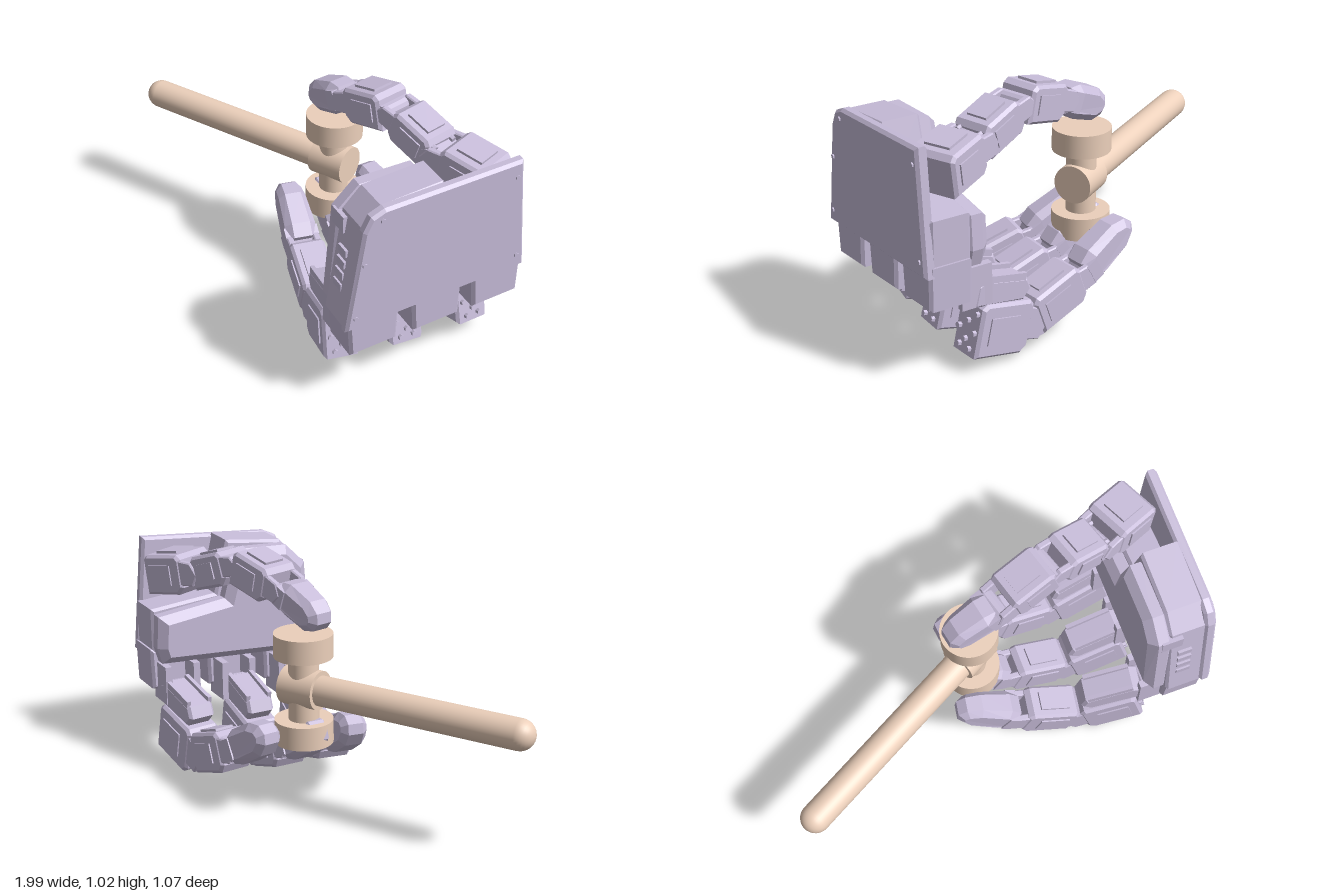
import * as THREE from 'three';

const lilac = new THREE.MeshStandardMaterial({ color: 0xc9bedb, flatShading: true });
const tan = new THREE.MeshStandardMaterial({ color: 0xecd0bb });

const V = (x, y, z) => new THREE.Vector3(x, y, z);
const shapeOf = pts => new THREE.Shape(pts.map(p => new THREE.Vector2(p[0], p[1])));

function add(parent, name, geo, x = 0, y = 0, z = 0, mat = lilac) {
  const m = new THREE.Mesh(geo, mat);
  m.name = name;
  m.position.set(x, y, z);
  parent.add(m);
  return m;
}

// Extrusion with a one-step chamfer; depth runs from z0 to z1
function slab(pts, z0, z1, bevel = 0.012) {
  const g = new THREE.ExtrudeGeometry(shapeOf(pts), {
    depth: z1 - z0 - 2 * bevel, bevelEnabled: true, bevelSegments: 1,
    bevelThickness: bevel, bevelSize: bevel, bevelOffset: -bevel,
  });
  return g.translate(0, 0, z0 + bevel);
}

// Side profile in (length, height), extruded to a width centred on x = 0
function sideProfile(pts, width, bevel = 0.012) {
  return slab(pts, -width / 2, width / 2, bevel).rotateY(-Math.PI / 2);
}

// Group whose local +z runs from a to b
function along(parent, name, a, b) {
  const g = new THREE.Group();
  g.name = name;
  g.position.copy(a);
  g.lookAt(b);
  parent.add(g);
  return g;
}

function pin(parent, z, y, r, width) {
  add(parent, 'hingePin', new THREE.CylinderGeometry(r, r, width, 12).rotateZ(Math.PI / 2), 0, y, z);
}

// Motor housing with a fork and hinge pin at its far end
function housing(parent, name, a, b, w, h, studs) {
  const g = along(parent, name, a, b);
  const L = a.distanceTo(b), t = h / 2, e = L - 0.055;
  add(g, 'shell', sideProfile([[0, -t], [e - 0.03, -t], [e, -t + 0.03], [e, t - 0.02], [e - 0.02, t], [0.02, t], [0, t - 0.02]], w));
  for (const s of [-1, 1]) {
    add(g, 'fork', sideProfile([[e - 0.05, -t * 0.5], [L, -t * 0.55], [L + 0.03, 0], [L, t * 0.6], [e - 0.05, t * 0.8]], 0.028, 0.005), s * (w / 2 - 0.018), 0, 0);
    add(g, 'sidePlate', new THREE.BoxGeometry(0.012, h * 0.5, e * 0.55), s * w / 2, 0, e * 0.45);
  }
  add(g, 'topCover', new THREE.BoxGeometry(w * 0.55, 0.02, e * 0.55), 0, t, e * 0.5);
  pin(g, L, 0, h * 0.24, w * 0.85);
  // Bolt heads on the rear face
  if (studs) for (const [x, y] of [[-0.3, 0.3], [0.3, 0.3], [0, 0.12], [-0.3, -0.05], [0.3, -0.05], [0, -0.22], [-0.2, -0.36], [0.2, -0.36]])
    add(g, 'boltHead', new THREE.CylinderGeometry(0.012, 0.012, 0.02, 6).rotateX(Math.PI / 2), x * w, y * h, -0.006);
  return g;
}

// Padded tip tapering to a rounded end
function fingertip(parent, a, b, w, h) {
  const g = along(parent, 'fingertip', a, b);
  const L = a.distanceTo(b), t = h / 2;
  const geo = sideProfile([[0, -t * 0.8], [L * 0.25, -t], [L * 0.75, -t * 0.9], [L * 0.95, -t * 0.45], [L, t * 0.1],
    [L * 0.92, t * 0.65], [L * 0.7, t], [L * 0.2, t], [0, t * 0.7]], w, 0.028);
  const p = geo.attributes.position;
  for (let i = 0; i < p.count; i++) p.setX(i, p.getX(i) * (1 - 0.3 * Math.max(0, p.getZ(i) / L - 0.3)));
  geo.computeVertexNormals();
  add(g, 'pad', geo);
  add(g, 'tipCollar', new THREE.BoxGeometry(w * 1.08, h * 0.6, 0.05), 0, 0, 0.03);
}

function buildFinger(root, name, base, dir) {
  const f = new THREE.Group();
  f.name = name;
  root.add(f);
  const [dx, dz] = dir;
  const at = (t, y) => V(base[0] - dx * t, base[1] - 0.19 + y, base[2] - dz * t);
  housing(f, 'proximalHousing', at(0, 0.19), at(0.3, 0.12), 0.15, 0.22, true);
  // Upper drive link running from the knuckle
  const link = along(f, 'driveLink', at(0, 0.35), at(0.26, 0.29));
  add(link, 'linkBody', sideProfile([[0, -0.06], [0.24, -0.05], [0.27, 0], [0.24, 0.045], [0.03, 0.05], [0, 0.03]], 0.12));
  for (const s of [-1, 1]) add(link, 'linkRail', new THREE.BoxGeometry(0.018, 0.04, 0.2), s * 0.05, 0.045, 0.13);
  housing(f, 'middleHousing', at(0.29, 0.15), at(0.57, 0.25), 0.15, 0.17, false);
  fingertip(f, at(0.55, 0.25), at(0.8, 0.39), 0.135, 0.15);
}

function buildPalm(root) {
  // Local x runs across the knuckles, local +z out of the back of the hand
  const palm = new THREE.Group();
  palm.name = 'palm';
  palm.position.set(0.62, 0, 0.53);
  palm.rotation.y = 1.065;
  root.add(palm);
  add(palm, 'backPlate', slab([[-0.01, 0.43], [0.77, 0.5], [0.725, 1.0], [0.14, 0.955], [0.085, 0.93], [0.055, 0.87]], -0.05, 0));
  // Main body, cut away at the upper far corner for the thumb
  add(palm, 'palmBody', slab([[0.0, 0.43], [0.76, 0.5], [0.76, 0.72], [0.46, 0.75], [0.4, 0.98], [0.14, 0.95], [0.065, 0.87]], -0.2, -0.03));
  add(palm, 'palmPad', slab([[0.02, 0.45], [0.74, 0.49], [0.76, 0.56], [0.75, 0.7], [0.44, 0.74], [0.38, 0.95], [0.14, 0.94], [0.05, 0.85]], -0.285, -0.17, 0.035));
  // Slots and a port on the near edge
  for (let i = 0; i < 4; i++) add(palm, 'edgeRib', new THREE.BoxGeometry(0.025, 0.03, 0.06), 0.028 + i * 0.006, 0.57 + i * 0.05, -0.13);
  add(palm, 'edgePort', new THREE.BoxGeometry(0.05, 0.07, 0.09), 0.07, 0.82, -0.19);
  // Recessed screws on the back
  for (const [x, y] of [[0.13, 0.91], [0.06, 0.73], [0.03, 0.49], [0.73, 0.56], [0.7, 0.93]])
    add(palm, 'backScrew', new THREE.CylinderGeometry(0.01, 0.01, 0.012, 6).rotateX(Math.PI / 2), x, y, 0);
  // Knuckle mounts under the palm
  [0.125, 0.4, 0.665].forEach((s, i) => {
    const y = 0.29 + i * 0.025;
    add(palm, 'knuckleMount', slab([[s - 0.1, y], [s + 0.1, y + 0.02], [s + 0.105, y + 0.2], [s - 0.115, y + 0.18]], -0.2, -0.02));
    for (const o of [-0.065, 0.065]) add(palm, 'knuckleCheek', new THREE.BoxGeometry(0.03, 0.17, 0.13), s + o, y + 0.06, -0.23);
    add(palm, 'knucklePin', new THREE.CylinderGeometry(0.045, 0.045, 0.15, 12).rotateZ(Math.PI / 2), s, y + 0.02, -0.24);
  });
}

function buildThumb(root) {
  const thumb = new THREE.Group();
  thumb.name = 'thumb';
  root.add(thumb);
  const P = [V(0.86, 0.86, -0.1), V(0.6, 0.9, -0.12), V(0.36, 0.98, -0.17), V(0.11, 0.92, -0.23), V(-0.1, 0.83, -0.3)];
  housing(thumb, 'thumbBase', P[0], P[1], 0.2, 0.17, false);
  housing(thumb, 'thumbMetacarpal', P[1], P[2], 0.17, 0.14, true);
  housing(thumb, 'thumbMiddle', P[2], P[3], 0.17, 0.15, false);
  fingertip(thumb, P[3], P[4], 0.14, 0.14);
}

function buildMallet(root) {
  const mallet = new THREE.Group();
  mallet.name = 'mallet';
  mallet.position.set(0.01, 0.545, -0.28);
  root.add(mallet);
  const cyl = (r, h) => new THREE.CylinderGeometry(r, r, h, 40);
  // Handle with a domed end, turned on a lathe
  const prof = [new THREE.Vector2(0, -0.05), new THREE.Vector2(0.062, -0.05)];
  for (let i = 0; i <= 8; i++) {
    const a = i / 8 * Math.PI / 2;
    prof.push(new THREE.Vector2(0.062 * Math.cos(a), 0.948 + 0.062 * Math.sin(a)));
  }
  add(mallet, 'handle', new THREE.LatheGeometry(prof, 40).rotateZ(Math.PI / 2), 0, 0, 0, tan);
  add(mallet, 'collar', cyl(0.08, 0.16).rotateZ(Math.PI / 2), 0, 0, 0, tan);
  add(mallet, 'headShaft', cyl(0.062, 0.36), 0, 0, 0, tan);
  for (const s of [-1, 1]) add(mallet, 'strikingDisc', cyl(0.12, 0.097), 0, s * 0.181, 0, tan);
}

export function createModel() {
  const root = new THREE.Group();
  root.name = 'robotHandWithMallet';
  buildPalm(root);
  buildFinger(root, 'nearFinger', [0.44, 0.19, 0.3], [0.78, 0.62]);
  buildFinger(root, 'middleFinger', [0.6, 0.19, 0.07], [0.87, 0.49]);
  buildFinger(root, 'farFinger', [0.76, 0.21, -0.18], [0.92, 0.39]);
  buildThumb(root);
  buildMallet(root);
  return root;
}
